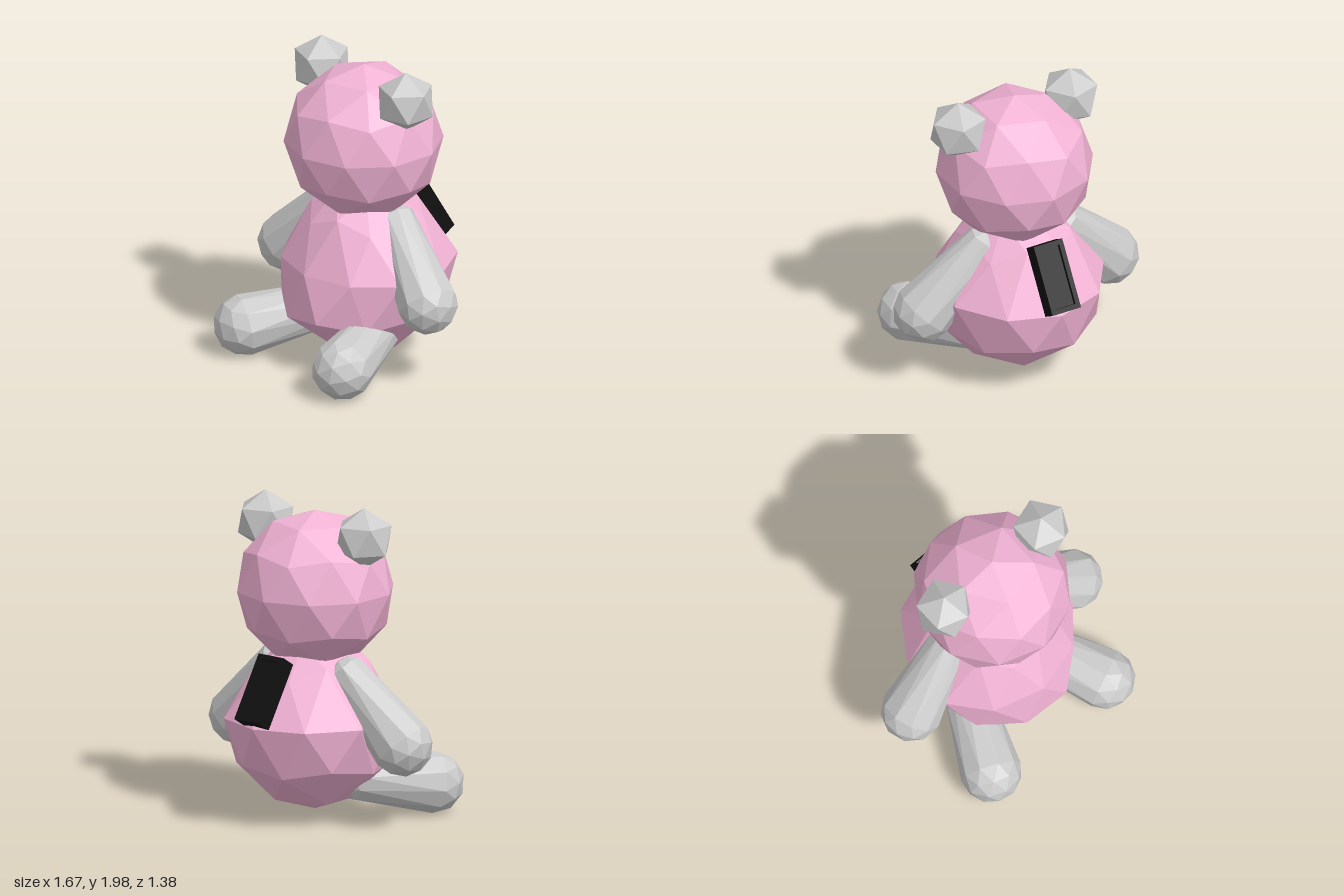
import * as THREE from 'three';

const mat = (color) => new THREE.MeshStandardMaterial({ color, flatShading: true });
const pink = mat(0xf2b3d5), grey = mat(0xcccccc), black = mat(0x111111);

// Faceted ball with one vertex pointing straight up; rule reshapes each unit vertex
function facetBall(detail, rule) {
  const geo = new THREE.IcosahedronGeometry(1, detail);
  geo.rotateZ(Math.atan2(2, 1 + Math.sqrt(5)));
  const pos = geo.attributes.position, v = new THREE.Vector3();
  for (let i = 0; i < pos.count; i++) {
    v.fromBufferAttribute(pos, i);
    rule(v);
    pos.setXYZ(i, v.x, v.y, v.z);
  }
  geo.computeVertexNormals();
  return geo;
}

function add(parent, name, geo, material, x, y, z) {
  const mesh = new THREE.Mesh(geo, material);
  mesh.name = name;
  mesh.position.set(x, y, z);
  parent.add(mesh);
  return mesh;
}

// Tapered stuffed limb: small ball end at root, larger ball end at tip
function limb(parent, name, root, tip, rRoot, rTip) {
  const a = new THREE.Vector3(...root), axis = new THREE.Vector3(...tip).sub(a);
  const length = axis.length();
  const geo = facetBall(1, (v) => {
    if (v.y > -0.01) {
      v.multiplyScalar(rTip);
      v.y += length;
    } else v.multiplyScalar(rRoot);
  });
  const mesh = add(parent, name, geo, grey, ...root);
  mesh.quaternion.setFromUnitVectors(new THREE.Vector3(0, 1, 0), axis.normalize());
}

export function createModel() {
  const bear = new THREE.Group();
  bear.name = 'toyBear';

  // Body: round below, tapered to the neck, with a flattened sloping chest
  const body = facetBall(1, (v) => {
    const up = Math.max(v.y, 0), front = v.z > 0.01;
    const taper = 1 - Math.min(0.55 * up, 0.36);
    let depth = 1.08;
    if (front) depth = v.y > -0.1 ? 0.87 + 0.15 * up : v.y > -0.6 ? 1.1 : 1;
    else if (v.y < -0.6) depth = 1;
    v.set(v.x * 0.55 * taper, v.y * (v.y > 0.8 ? 0.55 : v.y > 0.5 ? 0.66 : 0.6), v.z * 0.55 * taper * depth);
  });
  add(bear, 'body', body, pink, 0.025, 0.66, -0.045);

  // Head
  add(bear, 'head', facetBall(1, (v) => v.multiplyScalar(0.49)), pink, 0.025, 1.44, -0.045);

  // Ears
  const ear = facetBall(0, (v) => v.multiplyScalar(0.19));
  add(bear, 'rightEar', ear, grey, -0.365, 1.81, -0.045).rotation.y = Math.PI;
  add(bear, 'leftEar', ear, grey, 0.42, 1.81, -0.045).rotation.y = Math.PI;

  // Arms and legs
  for (const [side, s] of [['left', 1], ['right', -1]]) {
    limb(bear, side + 'Arm', [0.3 * s, 0.93, -0.09], [0.65 * s, 0.55, -0.02], 0.14, 0.19);
    limb(bear, side + 'Leg', [0.27 * s, 0.27, 0.08], [0.46 * s, 0.2, 0.5], 0.16, 0.19);
  }

  // Back box: rim with a shallow recess over a solid base
  const pack = new THREE.Group();
  pack.name = 'backBox';
  pack.position.set(0.025, 0.877, -0.53);
  pack.rotation.x = -2.583;
  const w = 0.1, h = 0.218, t = 0.03;
  const rim = new THREE.Shape([[-w, -h], [w, -h], [w, h], [-w, h]].map((p) => new THREE.Vector2(...p)));
  const [iw, ih] = [w - t, h - t];
  rim.holes.push(new THREE.Path([[-iw, -ih], [-iw, ih], [iw, ih], [iw, -ih]].map((p) => new THREE.Vector2(...p))));
  add(pack, 'boxRim', new THREE.ExtrudeGeometry(rim, { depth: 0.025, bevelEnabled: false }), black, 0, 0, 0.028);
  add(pack, 'boxBase', new THREE.BoxGeometry(2 * w, 2 * h, 0.081), black, 0, 0, -0.0125);
  bear.add(pack);

  return bear;
}
